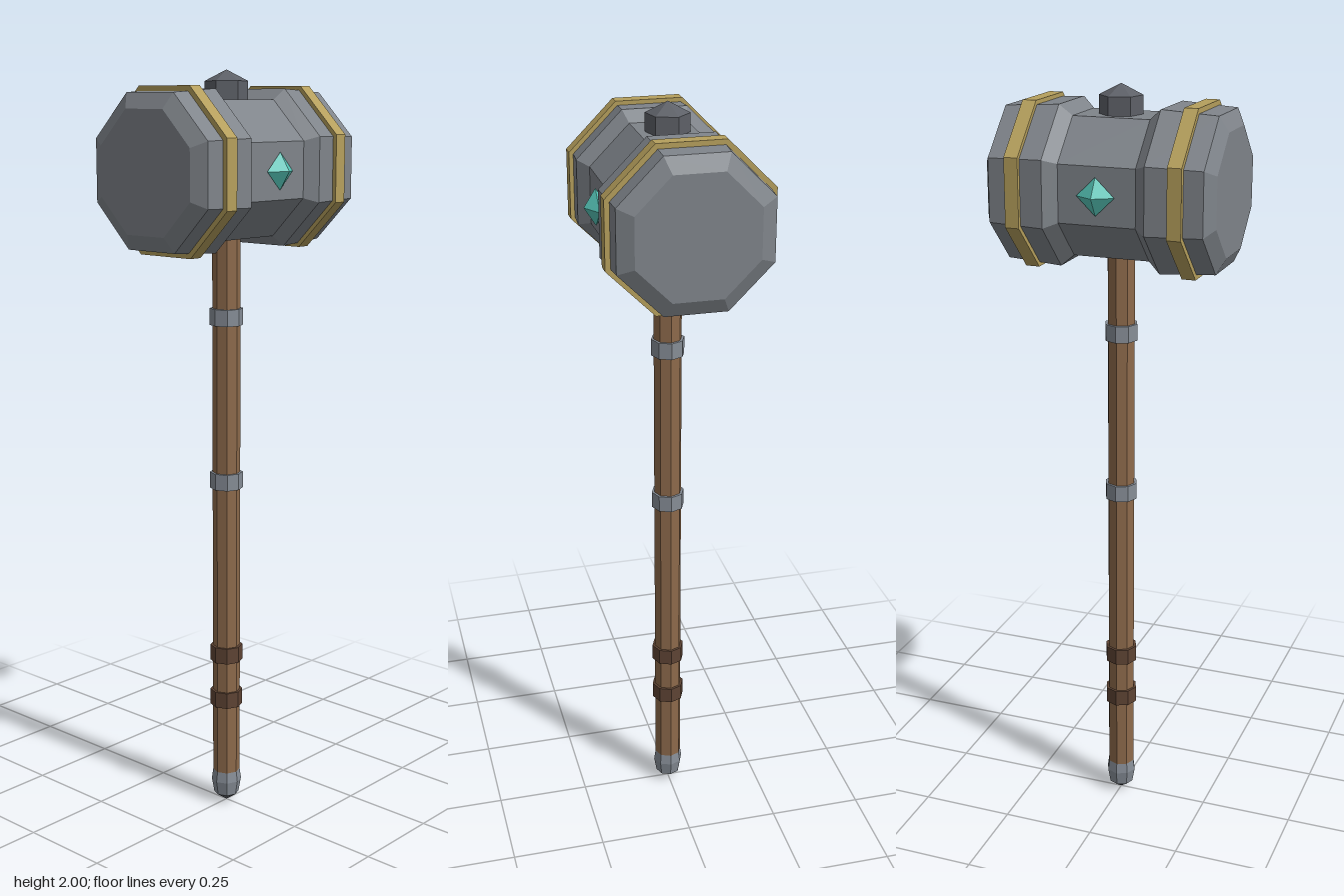
import * as THREE from 'three';

const mat = (name, color) => {
  const m = new THREE.MeshStandardMaterial({ color });
  m.name = name;
  return m;
};

export function createModel() {
  const stone = mat('stone grey', 0x7f848a);
  const steel = mat('steel', 0x868d96);
  const iron = mat('dark iron', 0x5d6067);
  const gold = mat('dull gold', 0xb59f5c);
  const wood = mat('wood', 0x8d6a4b);
  const leather = mat('leather', 0x5e4434);
  const teal = mat('teal gem', 0x56c6b8);

  const model = new THREE.Group();
  model.name = 'warHammer';
  const headY = 1.753;

  // Hard-edged faces for the low-poly look
  const faceted = (geo) => {
    const g = geo.index ? geo.toNonIndexed() : geo;
    g.computeVertexNormals();
    return g;
  };
  const add = (name, geo, material, parent = model) => {
    const mesh = new THREE.Mesh(faceted(geo), material);
    mesh.name = name;
    parent.add(mesh);
    return mesh;
  };
  // Faceted solid of revolution from [radius, height] pairs, bottom to top
  const turned = (profile, sides = 8, phase = 0) =>
    new THREE.LatheGeometry(profile.map(([r, h]) => new THREE.Vector2(r, h)), sides, phase);
  // Octagonal solid along x, sized by the distance from axis to flat
  const octagonal = (profile) =>
    turned(profile.map(([a, x]) => [a / Math.cos(Math.PI / 8), x]), 8, Math.PI / 8).rotateZ(-Math.PI / 2);

  // Head: waisted block with chamfered striking faces
  const head = new THREE.Group();
  head.name = 'head';
  head.position.y = headY;
  model.add(head);
  const half = [[0.173, 0.1], [0.2, 0.131], [0.191, 0.275], [0.152, 0.296], [0, 0.296]];
  const mirrored = half.map(([a, x]) => [a, -x]).reverse();
  add('headBlock', octagonal([...mirrored, ...half]), stone, head);

  // Gold bands and gems, one of each per side
  for (const s of [-1, 1]) {
    const band = add(s > 0 ? 'leftBand' : 'rightBand',
      octagonal([[0.18, -0.018], [0.207, -0.018], [0.207, 0.018], [0.18, 0.018]]), gold, head);
    band.position.x = s * 0.208;
    const gem = add(s > 0 ? 'frontGem' : 'backGem',
      new THREE.OctahedronGeometry(1).scale(0.049, 0.047, 0.03), teal, head);
    gem.position.z = s * 0.18;
  }

  // Pointed hexagonal stud on top
  const stud = add('topStud',
    turned([[0, 1.9], [0.055, 1.9], [0.055, 1.972], [0, 2]], 6), iron);
  stud.rotation.y = -0.27;

  // Handle
  add('handle', turned([[0, 0.06], [0.037, 0.06], [0.037, 1.62], [0, 1.62]]), wood);

  // Steel rings and leather wraps: [name, centre height, material]
  for (const [name, y, material] of [
    ['upperRing', 1.373, steel], ['lowerRing', 0.932, steel],
    ['upperWrap', 0.442, leather], ['lowerWrap', 0.312, leather],
  ]) {
    const ring = add(name,
      turned([[0.03, -0.022], [0.044, -0.022], [0.044, 0.022], [0.03, 0.022]]), material);
    ring.position.y = y;
  }

  // Pommel with an iron tip
  add('pommel', turned([[0.034, 0.025], [0.041, 0.065], [0.037, 0.094], [0.02, 0.094]]), steel);
  add('pommelTip', turned([[0, 0], [0.034, 0.025]]), iron);

  return model;
}
